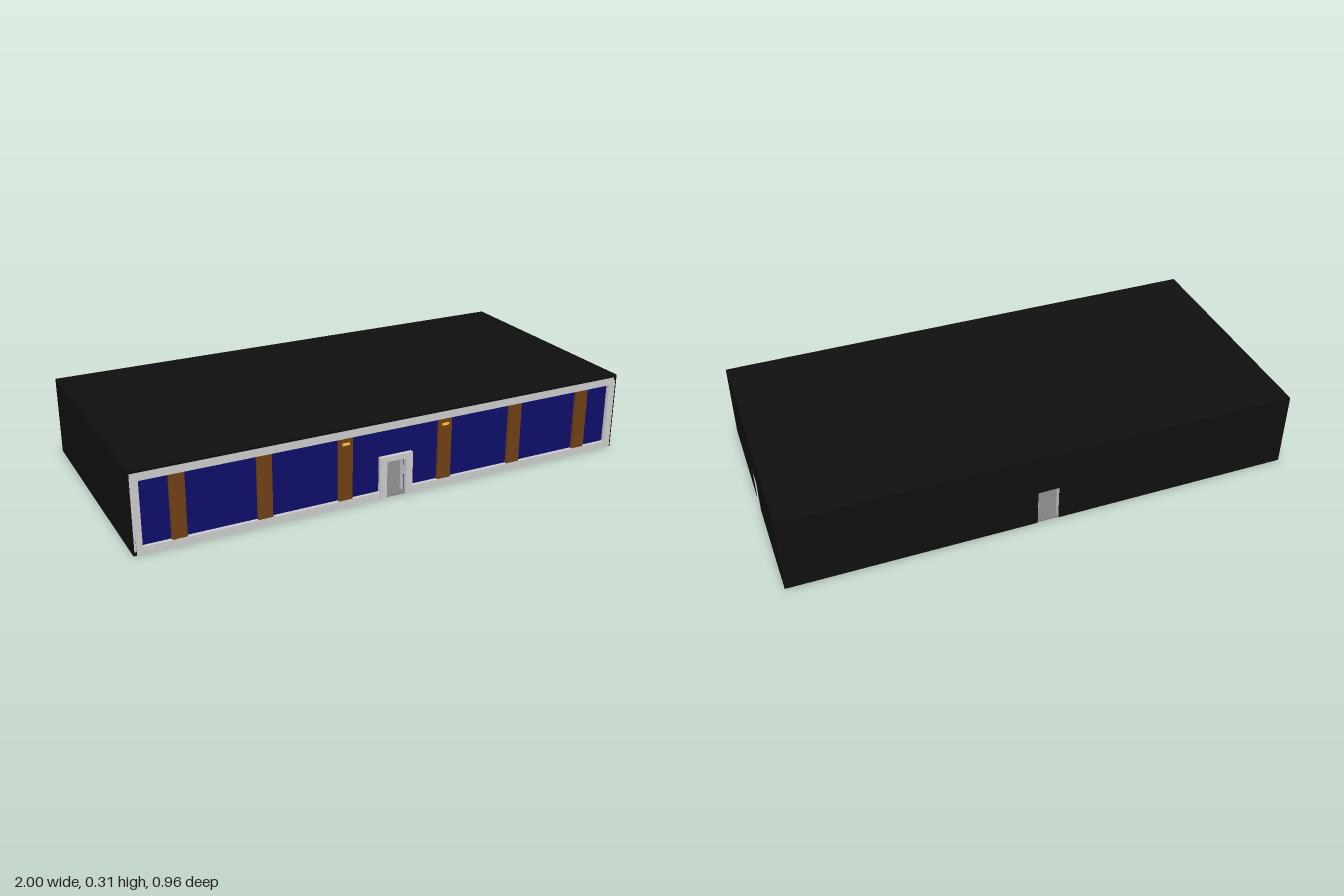
import * as THREE from 'three';

const paint = (color) => new THREE.MeshStandardMaterial({ color });
const H = 0.3, ROOF = 0.01, TRIM = 0.03;
const PILLARS_LONG = [-0.835, -0.52, -0.207, 0.207, 0.52, 0.835];
const PILLARS_SHORT = [-0.2, 0.2];

// Rectangle standing on the ground, with an optional door notch
function wallShape(w, h, door) {
  const s = new THREE.Shape();
  s.moveTo(-w / 2, 0);
  if (door) {
    s.lineTo(-door.w / 2, 0);
    s.lineTo(-door.w / 2, door.h);
    s.lineTo(door.w / 2, door.h);
    s.lineTo(door.w / 2, 0);
  }
  s.lineTo(w / 2, 0);
  s.lineTo(w / 2, h);
  s.lineTo(-w / 2, h);
  s.closePath();
  return s;
}

export function createModel() {
  const root = new THREE.Group();
  const black = paint(0x0f0f0f), blue = paint(0x0d0d69), grey = paint(0xcccccc);
  const brown = paint(0x6f4015), yellow = paint(0xffcc33), floorGrey = paint(0x808080);

  const add = (parent, name, geo, mat) => {
    const m = new THREE.Mesh(geo, mat);
    m.name = name;
    parent.add(m);
    return m;
  };
  // Extrude a shape between two depths
  const slab = (parent, name, shape, mat, z0, z1) => {
    const geo = new THREE.ExtrudeGeometry(shape, { depth: z1 - z0, bevelEnabled: false });
    return add(parent, name, geo.translate(0, 0, z0), mat);
  };
  const box = (parent, name, mat, x, y0, y1, z0, z1, w) => {
    const m = add(parent, name, new THREE.BoxGeometry(w, y1 - y0, z1 - z0), mat);
    m.position.set(x, (y0 + y1) / 2, (z0 + z1) / 2);
    return m;
  };
  // Skirting, cornice and end strips, with the skirting broken at the door
  const border = (parent, w, door, z0, z1) => {
    box(parent, 'cornice', grey, 0, H - TRIM, H, z0, z1, w);
    for (const s of [-1, 1]) {
      const inner = door ? door.w / 2 : 0;
      const len = w / 2 - inner;
      box(parent, 'skirting', grey, s * (inner + len / 2), 0, TRIM - 0.003, z0, z1, len);
      box(parent, 'endStrip', grey, s * (w / 2 - TRIM / 2), TRIM - 0.003, H - TRIM, z0, z1, TRIM);
    }
  };

  // One wall in local space: outer face at z = 0, room on the -z side
  function wall(name, w, { door, pillars, front = false }) {
    const g = new THREE.Group();
    g.name = name;
    root.add(g);
    const gap = door && { w: door.w + 0.002, h: door.h + 0.001 };
    const z0 = front ? -0.018 : 0;
    const inW = w - 0.05;
    slab(g, 'outerWall', wallShape(w, H, gap), black, z0 - 0.012, z0);
    slab(g, 'innerLining', wallShape(inW, H, gap), blue, z0 - 0.016, z0 - 0.012);
    border(g, inW, gap, z0 - 0.022, z0 - 0.016);
    for (const x of pillars) {
      box(g, 'innerPillar', brown, x, TRIM, H - TRIM, z0 - 0.03, z0 - 0.016, 0.055);
      box(g, 'innerPillarBase', grey, x, 0, TRIM, z0 - 0.032, z0 - 0.016, 0.055);
    }
    if (door) {
      // Lining around the doorway through the wall
      const frame = wallShape(gap.w + 0.04, gap.h + 0.02, door);
      slab(g, 'innerDoorSurround', frame, grey, z0 - 0.024, z0 - 0.0125);
      slab(g, 'doorJamb', wallShape(gap.w, gap.h, door), grey, z0 - 0.012, z0 - 0.001);
    }
    return g;
  }

  // Front wall with its decorated outside
  const frontDoor = { w: 0.08, h: 0.145 };
  const front = wall('frontWall', 2, { door: frontDoor, pillars: [], front: true });
  front.position.z = 0.477;
  slab(front, 'frontPanel', wallShape(1.99, H, frontDoor), blue, -0.018, -0.014);
  border(front, 1.992, { w: 0.1, h: 0.15 }, -0.016, 0);
  slab(front, 'frontDoorSurround', wallShape(0.135, 0.165, frontDoor), grey, -0.016, 0.003);
  for (const x of PILLARS_LONG) {
    box(front, 'frontPillar', brown, x, TRIM - 0.003, H - TRIM, -0.016, -0.002, 0.055);
    if (Math.abs(x) < 0.3) box(front, 'pillarLight', yellow, x, 0.243, 0.253, -0.002, 0, 0.028);
  }

  // Back and side walls
  const back = wall('backWall', 2, { door: { w: 0.082, h: 0.146 }, pillars: PILLARS_LONG });
  back.position.z = -0.48;
  back.rotation.y = Math.PI;
  const sideDoor = { w: 0.084, h: 0.138 };
  for (const s of [1, -1]) {
    const side = wall(s > 0 ? 'doorSideWall' : 'plainSideWall', 0.957, {
      door: s > 0 ? sideDoor : undefined,
      pillars: PILLARS_SHORT,
    });
    side.position.set(s, 0, -0.0015);
    side.rotation.y = s * Math.PI / 2;
  }

  // Roof, ceiling and floor
  box(root, 'roof', black, 0, H, H + ROOF, -0.48, 0.477, 2);
  box(root, 'ceiling', floorGrey, 0, H - 0.004, H - 0.001, -0.465, 0.445, 1.97);
  box(root, 'floor', floorGrey, 0, 0.001, 0.006, -0.478, 0.475, 1.99);
  return root;
}
